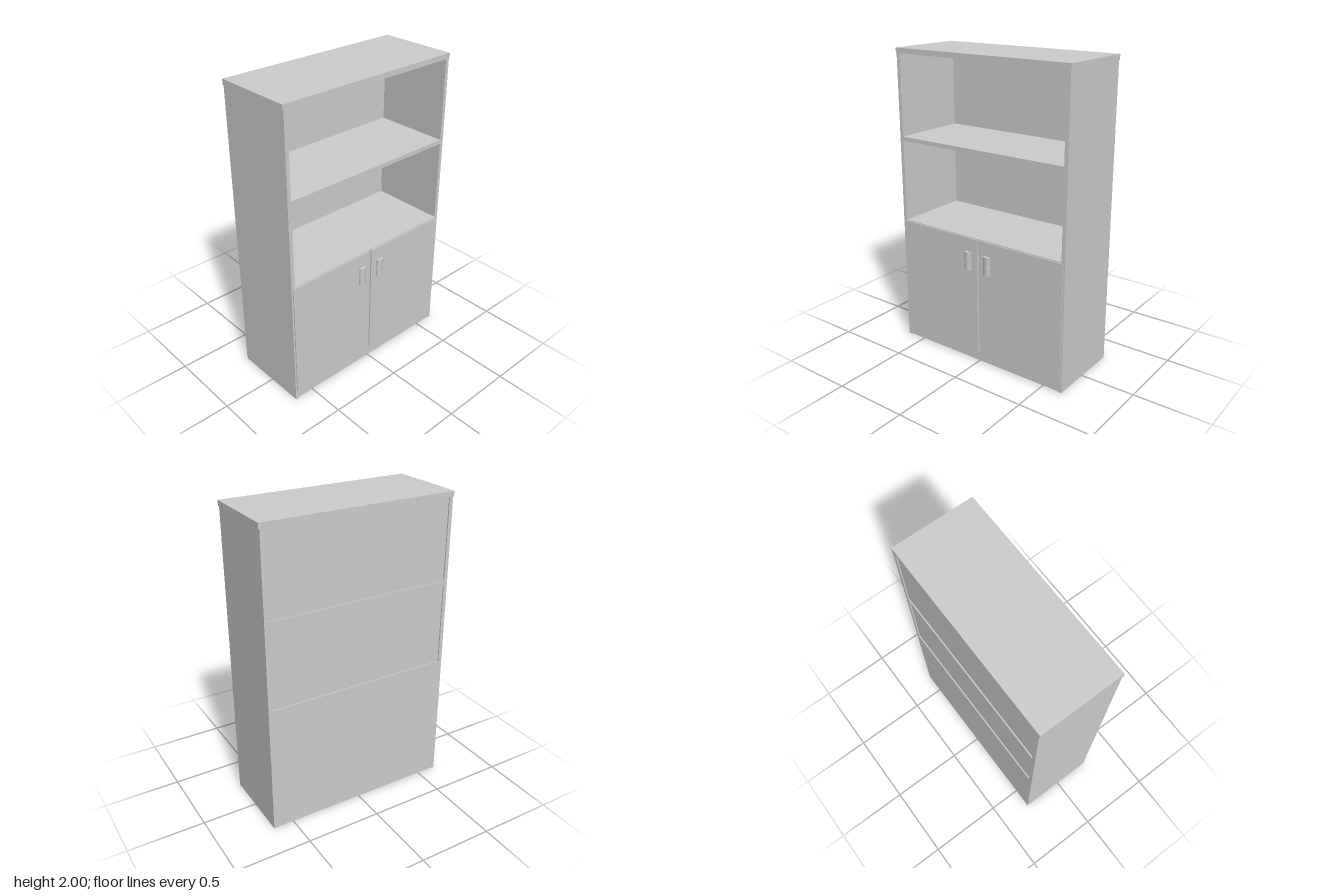
import * as THREE from 'three';

const material = new THREE.MeshStandardMaterial({ color: 0xcccccc });

// Box given by its limits on each axis
function panel(name, [x0, x1], [y0, y1], [z0, z1]) {
  const mesh = new THREE.Mesh(new THREE.BoxGeometry(x1 - x0, y1 - y0, z1 - z0), material);
  mesh.name = name;
  mesh.position.set((x0 + x1) / 2, (y0 + y1) / 2, (z0 + z1) / 2);
  return mesh;
}

// Upright lock plate with a ridged front and an oval ring with a key slot
function createHandle(side) {
  const handle = new THREE.Group();
  handle.name = side > 0 ? 'leftHandle' : 'rightHandle';

  const outline = new THREE.Shape([
    [-0.024, 0], [0.024, 0], [0.024, 0.012], [0.008, 0.019], [-0.008, 0.019], [-0.024, 0.012],
  ].map(([x, z]) => new THREE.Vector2(x, -z)));
  const plateGeometry = new THREE.ExtrudeGeometry(outline, { depth: 0.126, bevelEnabled: false });
  plateGeometry.rotateX(-Math.PI / 2).translate(0, -0.063, 0);
  const plate = new THREE.Mesh(plateGeometry, material);
  plate.name = 'handlePlate';
  handle.add(plate);

  const ring = new THREE.Mesh(new THREE.TorusGeometry(0.007, 0.0015, 6, 20), material);
  ring.name = 'lockRing';
  ring.scale.y = 4;
  ring.position.z = 0.0185;
  const slot = panel('keySlot', [-0.002, 0.002], [-0.012, 0.012], [0.018, 0.02]);
  handle.add(ring, slot);

  handle.position.set(side * 0.076, 0.704, 0.257);
  return handle;
}

export function createModel() {
  const cabinet = new THREE.Group();
  cabinet.name = 'cabinet';
  const back = -0.283, front = 0.249;

  // Carcass
  cabinet.add(panel('topBoard', [-0.644, 0.644], [1.966, 2], [back, front]));
  for (const side of [-1, 1]) {
    const xs = [side * 0.613, side * 0.638].sort((a, b) => a - b);
    cabinet.add(panel(side > 0 ? 'leftSide' : 'rightSide', xs, [0, 1.966], [back, front]));
  }
  cabinet.add(panel('middleShelf', [-0.613, 0.613], [1.408, 1.435], [back, front]));
  cabinet.add(panel('counterShelf', [-0.613, 0.613], [0.838, 0.864], [back, front]));
  cabinet.add(panel('bottomBoard', [-0.613, 0.613], [0.003, 0.07], [back, 0.22]));
  cabinet.add(panel('plinth', [-0.625, 0.625], [0.003, 0.07], [0.22, 0.246]));

  // Back boards: recessed behind the open shelves, flush behind the cupboard
  for (const ys of [[0.864, 1.408], [1.435, 1.966]]) {
    cabinet.add(panel('shelfBack', [-0.613, 0.613], ys, [back + 0.008, back + 0.018]));
  }
  cabinet.add(panel('cupboardBack', [-0.613, 0.613], [0.07, 0.838], [back, back + 0.018]));

  // Doors and handles
  for (const side of [-1, 1]) {
    const xs = [side * 0.005, side * 0.628].sort((a, b) => a - b);
    cabinet.add(panel(side > 0 ? 'leftDoor' : 'rightDoor', xs, [0.075, 0.858], [0.235, 0.257]));
    cabinet.add(createHandle(side));
  }
  return cabinet;
}
